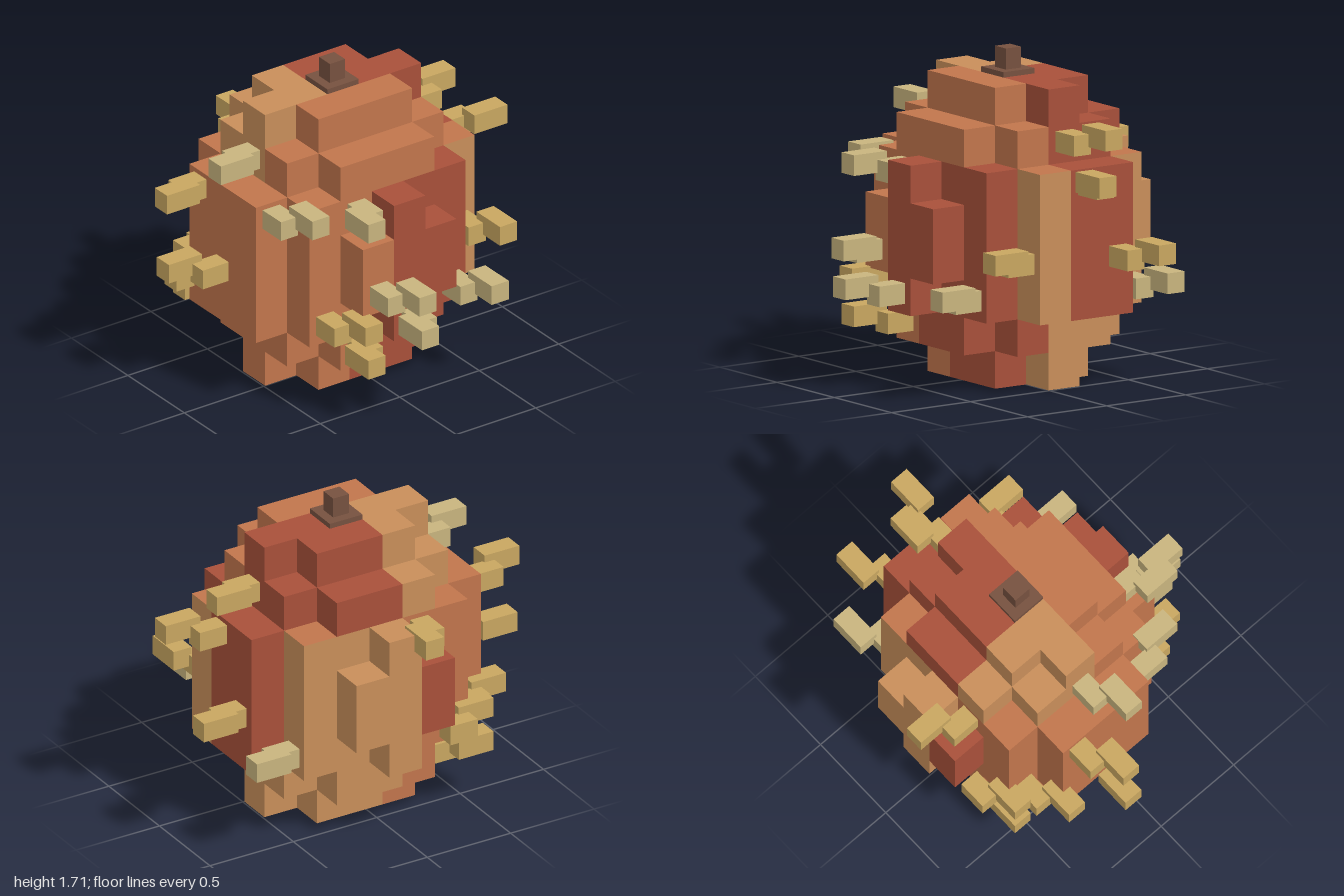
import * as THREE from 'three';
import { mergeGeometries } from 'three/addons/utils/BufferGeometryUtils.js';

const U = 0.1965; // block size
const CZ = -0.1; // body centre in z

// Body layers, bottom to top. Rows run back to front, columns run -x to +x.
const E = '.......';
const lower = ['...t...', '.oottt.', 'ooottrr', 'ooorrrr', 'ooorrrt', '.oorrr.', '...r...'];
const middle = ['..rtt..', ...lower.slice(1, 6), '..orr..'];
const LAYERS = [
  [E, E, '..ott..', '.oottt.', '..orr..', E, E],
  [E, '..ott..', '.oottt.', '.oottt.', '.oorrr.', '..orr..', E],
  lower, middle, middle, lower,
  [E, '..trr..', '.ttrrr.', '.ttrrr.', '.ooooo.', '..ooo..', E],
  [E, E, '..trr..', '.ttrrr.', '..ooo..', E, E],
];

// Face directions with the rotation that turns a +z plane towards them
const FACES = [
  [1, 0, 0, 0, Math.PI / 2], [-1, 0, 0, 0, -Math.PI / 2],
  [0, 1, 0, -Math.PI / 2, 0], [0, -1, 0, Math.PI / 2, 0],
  [0, 0, 1, 0, 0], [0, 0, -1, 0, Math.PI],
];

const cell = (i, j, k) => {
  const c = LAYERS[j]?.[k]?.[i];
  return c && c !== '.' ? c : null;
};

export function createModel() {
  const model = new THREE.Group();
  const mat = (name, color) => {
    const m = new THREE.MeshStandardMaterial({ color });
    m.name = name;
    return m;
  };
  const red = mat('brick red', 0xa8503a);
  const orange = mat('orange', 0xc1754c);
  const tan = mat('light tan', 0xc88e5a);
  const gold = mat('gold', 0xc8a660);
  const khaki = mat('khaki', 0xc8b47e);
  const brown = mat('stem brown', 0x76513f);

  // Stepped block body: only the exposed faces, gathered by colour
  const faces = { r: [], o: [], t: [] };
  for (let j = 0; j < 8; j++) for (let k = 0; k < 7; k++) for (let i = 0; i < 7; i++) {
    const c = cell(i, j, k);
    if (!c) continue;
    for (const [dx, dy, dz, rx, ry] of FACES) {
      if (cell(i + dx, j + dy, k + dz)) continue;
      // two tan shoulders have an orange upper face
      const shoulder = dy === 1 && j === 5 && ((i === 6 && k === 4) || (i === 5 && k === 1));
      const g = new THREE.PlaneGeometry(U, U).rotateX(rx).rotateY(ry);
      g.translate((i - 3 + dx / 2) * U, (j + 0.5 + dy / 2) * U, CZ + (k - 3 + dz / 2) * U);
      faces[shoulder ? 'o' : c].push(g);
    }
  }
  const body = new THREE.Group();
  body.name = 'body';
  for (const [key, m, name] of [['r', red, 'redBody'], ['o', orange, 'orangeBody'], ['t', tan, 'tanBody']]) {
    const mesh = new THREE.Mesh(mergeGeometries(faces[key]), m);
    mesh.name = name;
    body.add(mesh);
  }
  model.add(body);

  const box = (parent, name, m, w, h, d, x, y, z) => {
    const mesh = new THREE.Mesh(new THREE.BoxGeometry(w, h, d), m);
    mesh.position.set(x, y, z);
    mesh.name = name;
    parent.add(mesh);
  };

  // Stem on its small plate
  box(model, 'stemBase', brown, U, 0.028, U, 0, 8 * U + 0.014, CZ);
  box(model, 'stem', brown, 0.095, 0.112, 0.095, 0, 1.654, CZ);

  // Spikes: a root block and a longer tip block, stepped up and sideways
  const W = 0.108;
  const spike = (axis, sign, surface, side, y, shift, m) => {
    const g = new THREE.Group();
    g.name = 'spike';
    const part = (name, from, to, lateral, height) => {
      const mid = surface + sign * (from + to) / 2;
      const len = to - from;
      if (axis === 'x') box(g, name, m, len, W, W, mid, height, lateral);
      else box(g, name, m, W, W, len, lateral, height, mid);
    };
    part('spikeRoot', 0, 0.163, side, y);
    part('spikeTip', 0.104, 0.312, side + shift * 0.091, y + 0.04);
    model.add(g);
  };

  // axis, direction, surface, sideways centre, height, step direction, colour
  const SPIKES = [
    // front
    ['z', 1, 0.197, -0.593, 1.1, 1, khaki],
    ['z', 1, 0.393, -0.198, 1.1, -1, khaki],
    ['z', 1, 0.59, -0.198, 0.705, 1, khaki],
    ['z', 1, 0.393, -0.397, 0.505, 1, gold],
    ['z', 1, 0.393, -0.198, 0.31, -1, gold],
    ['z', 1, 0.59, 0, 0.505, -1, khaki],
    ['z', 1, 0.393, 0.395, 0.505, 1, khaki],
    ['z', 1, 0.197, 0.587, 0.705, 1, gold],
    // left side (+x)
    ['x', 1, 0.49, -0.1, 1.295, -1, gold],
    ['x', 1, 0.688, -0.1, 1.1, 1, gold],
    ['x', 1, 0.688, -0.295, 0.705, -1, gold],
    ['x', 1, 0.49, -0.493, 0.505, -1, khaki],
    // right side (-x)
    ['x', -1, -0.49, -0.1, 1.295, 1, khaki],
    ['x', -1, -0.688, -0.298, 1.1, 1, gold],
    ['x', -1, -0.688, -0.1, 0.705, -1, gold],
    ['x', -1, -0.49, -0.493, 0.505, 1, gold],
    ['x', -1, -0.295, -0.69, 0.505, 1, gold],
    ['x', -1, -0.295, -0.51, 0.31, -1, gold],
    // back
    ['z', -1, -0.59, -0.198, 1.1, 1, gold],
  ];
  for (const s of SPIKES) spike(...s);

  return model;
}
